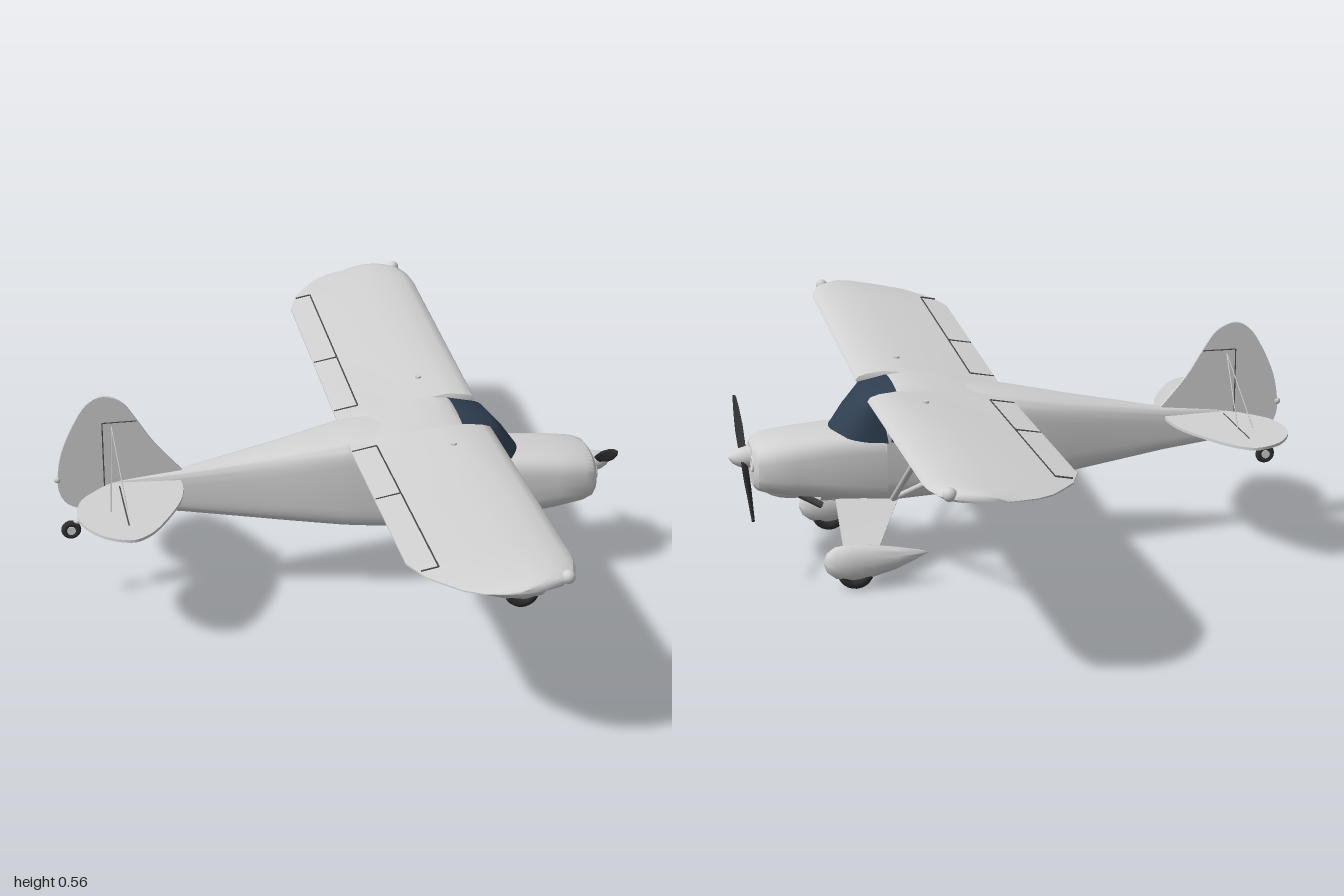
import * as THREE from 'three';
import { toCreasedNormals } from 'three/addons/utils/BufferGeometryUtils.js';

const V = (x, y, z) => new THREE.Vector3(x, y, z);
const material = (name, color, side = THREE.FrontSide) => {
  const m = new THREE.MeshStandardMaterial({ color, side });
  m.name = name;
  return m;
};

// Fuselage stations: x, bottom, top, half width, squareness
const STATIONS = [
  [-0.64, 0.258, 0.31, 0.004, 2], [-0.55, 0.254, 0.332, 0.01, 3], [-0.4, 0.236, 0.347, 0.022, 3.5],
  [-0.15, 0.203, 0.392, 0.07, 4], [0, 0.188, 0.42, 0.098, 5], [0.1, 0.18, 0.43, 0.103, 6],
  [0.325, 0.168, 0.438, 0.103, 6], [0.33, 0.168, 0.35, 0.104, 5], [0.45, 0.179, 0.35, 0.105, 4],
  [0.55, 0.19, 0.344, 0.106, 3.4], [0.62, 0.2, 0.336, 0.103, 3], [0.645, 0.207, 0.328, 0.093, 2.8],
  [0.655, 0.218, 0.315, 0.078, 2.6],
];
// Wing plan: span position, trailing edge x, leading edge x
const WING = [
  [0, 0.012, 0.32], [0.092, 0.012, 0.32], [0.096, 0.012, 0.375], [0.45, 0.012, 0.375], [0.78, 0.012, 0.375],
  [0.86, 0.04, 0.375], [0.9, 0.068, 0.37], [0.95, 0.105, 0.355], [0.98, 0.145, 0.325],
  [0.995, 0.19, 0.28], [1, 0.215, 0.25],
];
// Airfoil: fraction back from the leading edge, height
const AIRFOIL = [
  [0, 0], [0.02, 0.011], [0.08, 0.019], [0.2, 0.026], [0.4, 0.025], [0.7, 0.014], [1, 0.002],
  [1, -0.002], [0.6, -0.006], [0.2, -0.009], [0.04, -0.008],
];
const wingLine = (x, s) => 0.431 + 0.038 * s - 0.02 * (0.375 - x) / 0.363;

// Skin a row of closed rings, cap both ends and face outward
function loft(rings, crease = 0.6) {
  const n = rings[0].length, pts = rings.flat(), idx = [];
  for (let i = 0; i < rings.length - 1; i++) {
    for (let j = 0; j < n; j++) {
      const a = i * n + j, b = i * n + (j + 1) % n;
      idx.push(a, b, a + n, b, b + n, a + n);
    }
  }
  const last = (rings.length - 1) * n;
  for (const [ring, base] of [[rings[0], 0], [rings[rings.length - 1], last]]) {
    const c = ring.reduce((s, p) => s.add(p), V(0, 0, 0)).divideScalar(n);
    pts.push(c);
    for (let j = 0; j < n; j++) {
      const a = base + j, b = base + (j + 1) % n;
      if (base) idx.push(a, b, pts.length - 1);
      else idx.push(b, a, pts.length - 1);
    }
  }
  let volume = 0;
  for (let i = 0; i < idx.length; i += 3) {
    volume += pts[idx[i]].dot(V(0, 0, 0).crossVectors(pts[idx[i + 1]], pts[idx[i + 2]]));
  }
  if (volume < 0) idx.reverse();
  const g = new THREE.BufferGeometry().setFromPoints(pts);
  g.setIndex(idx);
  return toCreasedNormals(g, crease);
}

const power = (v, e) => Math.sign(v) * Math.pow(Math.abs(v), e);
function bodyRing([x, bottom, top, w, p]) {
  return Array.from({ length: 36 }, (_, i) => {
    const a = (i / 36) * Math.PI * 2;
    return V(x, (top + bottom) / 2 + (top - bottom) / 2 * power(Math.sin(a), 2 / p), w * power(Math.cos(a), 2 / p));
  });
}
// Half width of the cabin side at a point
function sideZ(x, y) {
  const i = Math.max(0, STATIONS.findIndex((s) => s[0] >= x) - 1), A = STATIONS[i], B = STATIONS[i + 1];
  const [, b, t, w, p] = A.map((v, k) => v + (B[k] - v) * (x - A[0]) / (B[0] - A[0]));
  return w * Math.pow(1 - Math.pow(Math.abs((y - (b + t) / 2) / ((t - b) / 2)), p), 1 / p);
}

export function createModel() {
  const root = new THREE.Group();
  root.name = 'highWingAirplane';
  const paint = material('body paint', 0xd2d2d2);
  const sheet = material('sheet paint', 0xd2d2d2, THREE.DoubleSide);
  const glass = material('window glass', 0x2f3e50, THREE.DoubleSide);
  const black = material('rubber black', 0x303030);
  const seam = material('seam grey', 0x505050);
  const add = (name, geometry, mat, x = 0, y = 0, z = 0) => {
    const m = new THREE.Mesh(geometry, mat);
    m.name = name;
    m.position.set(x, y, z);
    root.add(m);
    return m;
  };
  const rod = (name, a, b, r, mat, sides = 8, flat = 1) => {
    const m = add(name, new THREE.CylinderGeometry(r, r, a.distanceTo(b), sides), mat);
    m.position.copy(a).lerp(b, 0.5);
    m.quaternion.setFromUnitVectors(V(0, 1, 0), b.clone().sub(a).normalize());
    m.scale.x = flat;
    return m;
  };

  // Body and chin
  add('fuselage', loft(STATIONS.map(bodyRing)), paint);
  add('chinScoop', new THREE.SphereGeometry(1, 20, 14), paint, 0.55, 0.2, 0).scale.set(0.075, 0.028, 0.045);
  rod('exhaustPipe', V(0.54, 0.19, -0.04), V(0.485, 0.158, -0.04), 0.009, seam);

  // Wing
  const span = [...WING.slice(1).reverse().map(([s, ...r]) => [-s, ...r]), ...WING];
  add('wing', loft(span.map(([z, te, le]) => AIRFOIL.map(([f, h]) => {
    const x = le - f * (le - te);
    return V(x, wingLine(x, Math.abs(z)) + h * Math.sqrt((le - te) / 0.363), z);
  })), 0.7), paint);

  // Windscreen wraps the cabin front and runs over the roof
  // Rows: side x, forward bulge, half width, side y, centre y
  const rows = [[0.325, 0.135, 0.105, 0.328, 0.348], [0.334, 0.09, 0.1, 0.385, 0.398],
    [0.342, 0.04, 0.094, 0.43, 0.444], [0.3, 0, 0.092, 0.446, 0.458]];
  const screen = new THREE.PlaneGeometry(1, 1, 20, rows.length - 1), pos = screen.attributes.position;
  for (let i = 0; i < pos.count; i++) {
    const a = ((i % 21) / 20 - 0.5) * Math.PI, c = Math.max(0, Math.cos(a));
    const [x, bulge, w, y0, y1] = rows[Math.floor(i / 21)];
    pos.setXYZ(i, x + bulge * Math.pow(c, 0.6), y0 + (y1 - y0) * c, w * Math.sin(a));
  }
  screen.computeVertexNormals();
  add('windscreen', screen, glass);

  // Side windows
  const panes = {
    rearWindow: [[0.045, 0.345], [0.075, 0.33], [0.15, 0.33], [0.15, 0.4], [0.095, 0.4]],
    doorWindow: [[0.158, 0.33], [0.318, 0.33], [0.322, 0.408], [0.158, 0.402]],
  };
  for (const side of [1, -1]) {
    for (const [name, outline] of Object.entries(panes)) {
      const g = new THREE.ShapeGeometry(new THREE.Shape(outline.map((p) => new THREE.Vector2(...p))));
      const p = g.attributes.position;
      for (let i = 0; i < p.count; i++) p.setZ(i, side * (sideZ(p.getX(i), p.getY(i)) + 0.003));
      g.computeVertexNormals();
      add(name, g, glass);
    }
  }

  // Tail surfaces cut from thin plate
  const plate = (pts, t) => {
    const curve = new THREE.SplineCurve(pts.map((p) => new THREE.Vector2(...p)));
    return new THREE.ExtrudeGeometry(new THREE.Shape(curve.getPoints(48)), { depth: t, bevelEnabled: false })
      .translate(0, 0, -t / 2);
  };
  add('finAndRudder', plate([[-0.393, 0.347], [-0.458, 0.423], [-0.504, 0.495], [-0.538, 0.541], [-0.584, 0.56],
    [-0.625, 0.541], [-0.66, 0.488], [-0.69, 0.419], [-0.702, 0.354], [-0.7, 0.312], [-0.68, 0.278],
    [-0.633, 0.26], [-0.557, 0.257]], 0.009), paint);
  add('tailLight', new THREE.SphereGeometry(0.009, 10, 8), paint, -0.703, 0.345, 0);
  for (const s of [1, -1]) {
    const stab = plate([[-0.42, 0], [-0.398, 0.03], [-0.412, 0.13], [-0.47, 0.25], [-0.515, 0.31], [-0.56, 0.328],
      [-0.625, 0.288], [-0.668, 0.2], [-0.657, 0.1], [-0.6, 0.03], [-0.56, 0]].map(([x, z]) => [x, z * s]), 0.007);
    add('stabilizer', stab.rotateX(Math.PI / 2), paint, 0, 0.324, 0);
    rod('elevatorHinge', V(-0.553, 0.328, s * 0.03), V(-0.553, 0.328, s * 0.25), 0.0018, seam, 4);
    rod('rudderHinge', V(-0.588, 0.265, s * 0.005), V(-0.588, 0.49, s * 0.005), 0.0015, seam, 4);
    rod('rudderBalanceSeam', V(-0.588, 0.49, s * 0.005), V(-0.503, 0.49, s * 0.005), 0.0015, seam, 4);
    for (const x of [-0.588, -0.548]) {
      rod('upperTailWire', V(-0.565, 0.48, s * 0.004), V(x, 0.326, s * 0.17), 0.0015, paint, 5);
      rod('lowerTailWire', V(-0.57, 0.262, 0), V(x, 0.322, s * 0.17), 0.0015, paint, 5);
    }

    // Flap and aileron seams
    const onWing = (x, z) => V(x, wingLine(x, z) + 0.0105 - (0.075 - x) * 0.13, s * z);
    rod('controlSeam', onWing(0.075, 0.125), onWing(0.075, 0.835), 0.002, seam, 4);
    for (const z of [0.125, 0.42, 0.835]) {
      rod('controlGap', onWing(0.075, z), onWing(z > 0.8 ? 0.035 : 0.014, z), 0.002, seam, 4);
    }
    add('fuelCap', new THREE.CylinderGeometry(0.008, 0.008, 0.008, 12), paint, 0.25, 0.458, s * 0.21);
    add('tipLight', new THREE.SphereGeometry(0.016, 14, 10), paint, 0.336, 0.474, s * 0.965);

    // Wing struts
    const foot = V(0.313, 0.18, s * 0.09);
    rod('frontStrut', foot, V(0.32, 0.44, s * 0.54), 0.008, paint, 10);
    rod('rearStrut', foot, V(0.135, 0.434, s * 0.54), 0.007, paint, 10);

    // Main gear: fairing plate, braces, wheel and teardrop cover
    const leg = (dz) => [[0.3, 0.178, 0.085], [0.457, 0.185, 0.085], [0.456, 0.085, 0.213], [0.375, 0.085, 0.213]]
      .map(([x, y, z]) => V(x, y - dz, s * (z - dz)));
    add('gearLeg', loft([leg(-0.003), leg(0.003)], 0.3), sheet);
    rod('gearBrace', V(0.42, 0.185, s * 0.02), V(0.42, 0.09, s * 0.205), 0.005, paint);
    const pant = [[0.253, 0.082, 0.002], [0.28, 0.079, 0.012], [0.33, 0.073, 0.028], [0.39, 0.069, 0.041],
      [0.44, 0.069, 0.046], [0.48, 0.07, 0.04], [0.5, 0.071, 0.025], [0.508, 0.071, 0.006]];
    add('wheelPant', loft(pant.map(([x, y, r]) => Array.from({ length: 20 }, (_, i) => {
      const a = (i / 20) * Math.PI * 2;
      return V(x, y + r * Math.sin(a), s * 0.226 + r * 0.62 * Math.cos(a));
    })), 0.9), paint);
    add('mainWheel', new THREE.TorusGeometry(0.032, 0.014, 10, 28), black, 0.43, 0.046, s * 0.226);

    // Cowl inlets and cylinder cheeks
    const lip = add('cowlInlet', new THREE.TorusGeometry(0.016, 0.004, 8, 24), paint, 0.655, 0.28, s * 0.05);
    lip.rotation.y = Math.PI / 2;
    lip.scale.x = 1.4;
  }

  // Tail wheel
  rod('tailWheelSpring', V(-0.55, 0.252, 0), V(-0.672, 0.222, 0), 0.006, paint);
  add('tailWheel', new THREE.TorusGeometry(0.016, 0.009, 8, 20), black, -0.675, 0.205, 0);
  add('tailWheelHub', new THREE.CylinderGeometry(0.011, 0.011, 0.02, 12).rotateX(Math.PI / 2), paint, -0.675, 0.205, 0);

  // Propeller and spinner
  const prop = new THREE.Group();
  prop.name = 'propeller';
  prop.position.set(0.672, 0.283, 0);
  prop.rotation.x = Math.PI / 3;
  // Blade sections: radius, half chord, twist
  const blade = loft([[0, 0.009, 1], [0.04, 0.012, 0.8], [0.1, 0.016, 0.55], [0.16, 0.014, 0.4], [0.2, 0.009, 0.3],
    [0.212, 0.003, 0.3]].map(([r, c, twist]) => Array.from({ length: 12 }, (_, i) => {
    const a = (i / 12) * Math.PI * 2, u = c * Math.cos(a), t = 0.004 * Math.sin(a);
    return V(u * Math.sin(twist) + t * Math.cos(twist), r, u * Math.cos(twist) - t * Math.sin(twist));
  })), 1);
  for (let i = 0; i < 2; i++) {
    const b = new THREE.Mesh(blade, black);
    b.name = 'propellerBlade';
    b.rotation.x = i * Math.PI;
    prop.add(b);
  }
  const cone = new THREE.Mesh(new THREE.LatheGeometry([[0.027, -0.025], [0.027, -0.005], [0.023, 0.012],
    [0.014, 0.028], [0, 0.038]].map((p) => new THREE.Vector2(...p)), 24).rotateZ(-Math.PI / 2), paint);
  cone.name = 'spinner';
  prop.add(cone);
  root.add(prop);
  return root;
}
